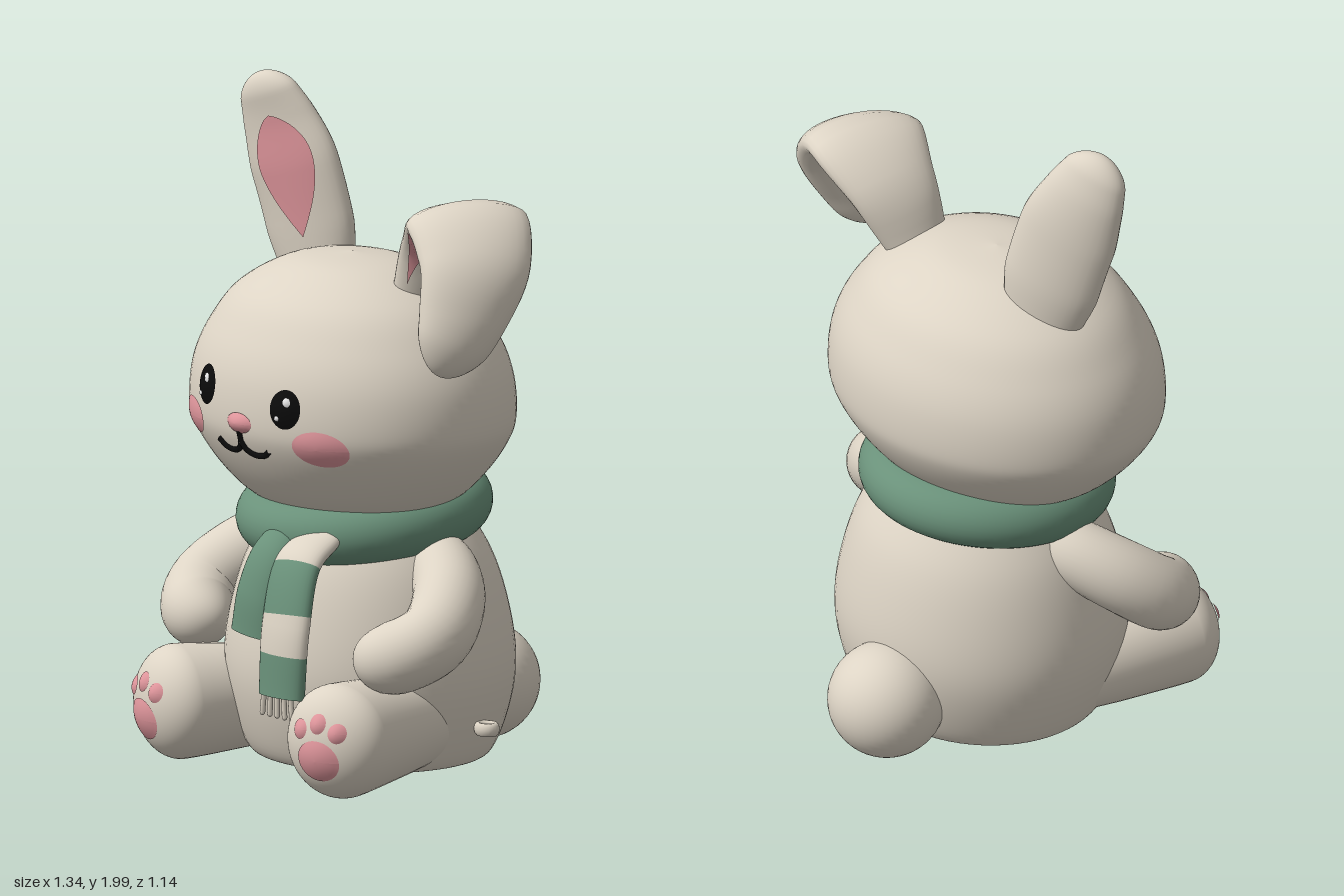
import * as THREE from 'three';

const paint = (name, color) => {
  const m = new THREE.MeshStandardMaterial({ color });
  m.name = name;
  return m;
};
const V = (p) => new THREE.Vector3(...p);
const CX = -0.05; // body centre line

export function createModel() {
  const model = new THREE.Group();
  model.name = 'plushRabbit';
  const cream = paint('cream', 0xddd4c5);
  const green = paint('green', 0x6a917a);
  const pink = paint('pink', 0xde959b);
  const black = paint('black', 0x0b0b0b);
  const white = paint('white', 0xf4f4f4);

  const add = (name, geo, mat, parent = model) => {
    const mesh = new THREE.Mesh(geo, mat);
    mesh.name = name;
    parent.add(mesh);
    return mesh;
  };

  // Sweep an elliptical section along a path. sizes: [half width, half thickness] per path point.
  // round: length of the rounded tip; cap: flat closed ends;
  // patch: [middle angle, half angle] of a teardrop strip lying on the swept surface.
  const sweep = (path, sizes, wide, { t0 = 0, t1 = 1, round = 0, cap = false, patch = null } = {}) => {
    const curve = new THREE.CatmullRomCurve3(path.map(V));
    const size = new THREE.CatmullRomCurve3(sizes.map(([w, h]) => V([w, h, 0])));
    const steps = 40, sides = 32;
    const rows = [];
    for (let i = 0; i <= steps; i++) {
      const u = i / steps;
      rows.push([t0 + (t1 - t0) * (round ? Math.sin(u * Math.PI / 2) : u), 1, u]);
    }
    if (cap) {
      rows.unshift([t0, 0, 0], [t0, 1, 0]);
      rows.push([t1, 1, 1], [t1, 0, 1]);
    }
    const pos = [], index = [];
    const cols = patch ? sides + 1 : sides;
    const lift = patch ? 0.005 : 0;
    rows.forEach(([t, scale, u]) => {
      const c = curve.getPoint(t), T = curve.getTangent(t), s = size.getPoint(t);
      const W = V(wide).addScaledVector(T, -V(wide).dot(T)).normalize();
      const N = new THREE.Vector3().crossVectors(W, T);
      const e = round && t > 1 - round ? (t - 1 + round) / round : 0;
      const k = scale * Math.sqrt(Math.max(1 - e * e, 0.00001));
      const drop = Math.max(Math.sin(Math.PI * u ** 1.4), 0.0001) ** 0.7;
      for (let j = 0; j < cols; j++) {
        const a = patch ? patch[0] + patch[1] * drop * (2 * j / sides - 1) : j / sides * Math.PI * 2;
        const p = c.clone().addScaledVector(W, Math.cos(a) * (s.x * k + lift))
          .addScaledVector(N, Math.sin(a) * (s.y * k + lift));
        pos.push(p.x, p.y, p.z);
      }
    });
    for (let i = 0; i < rows.length - 1; i++) {
      if (cap && (i === 1 || i === rows.length - 3)) continue;
      for (let j = 0; j < sides; j++) {
        const a = i * cols + j, b = i * cols + (j + 1) % cols;
        index.push(a, a + cols, b, a + cols, b + cols, b);
      }
    }
    const g = new THREE.BufferGeometry();
    g.setAttribute('position', new THREE.Float32BufferAttribute(pos, 3));
    g.setIndex(index);
    g.computeVertexNormals();
    return g;
  };

  // Thin domed oval that follows a surface z = surf(x, y)
  const decal = (name, mat, surf, cx, cy, rx, ry, dome, parent) => {
    const g = new THREE.RingGeometry(0.001, 1, 32, 6);
    const p = g.attributes.position;
    for (let i = 0; i < p.count; i++) {
      const u = p.getX(i), v = p.getY(i);
      const x = cx + u * rx, y = cy + v * ry;
      p.setXYZ(i, x, y, surf(x, y) + 0.003 + dome * (1 - u * u - v * v));
    }
    g.computeVertexNormals();
    return add(name, g, mat, parent);
  };

  const spline = (pts) => new THREE.SplineCurve(pts.map((p) => new THREE.Vector2(...p))).getPoints(60)
    .map((p) => new THREE.Vector2(Math.max(p.x, 0), p.y));

  // Body, with a softly rounded underside
  const bodySide = spline([[0, 0.026], [0.18, 0.028], [0.3, 0.036], [0.35, 0.07], [0.395, 0.2], [0.41, 0.33],
    [0.39, 0.48], [0.345, 0.63], [0.27, 0.76], [0.2, 0.85]]);
  const body = add('body', new THREE.LatheGeometry(bodySide, 64), cream);
  body.position.set(CX, 0, 0.02);
  body.scale.x = 1.08;

  // Head
  const headSide = spline([[0, 0.74], [0.2, 0.76], [0.34, 0.82], [0.435, 0.9], [0.51, 1.0], [0.532, 1.08],
    [0.518, 1.2], [0.465, 1.31], [0.37, 1.42], [0.2, 1.505], [0, 1.53]]);
  const head = add('head', new THREE.LatheGeometry(headSide, 80), cream);
  head.position.set(CX, 0, 0.085);
  head.scale.z = 0.81;
  const faceZ = (x, y) => {
    const i = Math.max(1, headSide.findIndex((p) => p.y >= y));
    const a = headSide[i - 1], b = headSide[i];
    const r = a.x + (b.x - a.x) * (y - a.y) / (b.y - a.y);
    return 0.085 + 0.81 * Math.sqrt(Math.max(r * r - (x - CX) ** 2, 0));
  };

  // Face, slightly tilted
  const shineZ = (x, y) => faceZ(x, y) + 0.013;
  [[-0.227, 1.16], [0.125, 1.14]].forEach(([x, y]) => {
    decal('eye', black, faceZ, x, y, 0.051, 0.058, 0.016);
    decal('eyeShine', white, shineZ, x + 0.015, y + 0.024, 0.013, 0.014, 0.004);
    decal('eyeShineSmall', white, shineZ, x - 0.014, y - 0.026, 0.008, 0.008, 0.004);
  });
  decal('cheek', pink, faceZ, -0.33, 1.05, 0.08, 0.054, 0.009);
  decal('cheek', pink, faceZ, 0.226, 1.03, 0.08, 0.054, 0.009);
  decal('nose', pink, faceZ, -0.05, 1.077, 0.053, 0.03, 0.018);
  const line = (pts) => add('mouth', new THREE.TubeGeometry(new THREE.CatmullRomCurve3(
    pts.map(([x, y]) => V([x, y, faceZ(x, y) + 0.002]))), 24, 0.009, 8), black);
  line([[-0.162, 1.012], [-0.135, 0.993], [-0.1, 0.987], [-0.068, 0.998], [-0.05, 1.022]]);
  line([[-0.05, 1.022], [-0.035, 0.998], [0, 0.985], [0.035, 0.99], [0.06, 1.008]]);
  line([[-0.05, 1.055], [-0.05, 1.022]]);

  // Upright ear
  const upPath = [[-0.285, 1.4, 0.01], [-0.32, 1.56, 0.02], [-0.36, 1.72, 0.04], [-0.41, 1.87, 0.065],
    [-0.447, 2.0, 0.105]];
  const upSize = [[0.115, 0.06], [0.15, 0.068], [0.152, 0.068], [0.125, 0.058], [0.08, 0.045]];
  const upWide = [0.96, 0, -0.28];
  add('uprightEar', sweep(upPath, upSize, upWide, { round: 0.12 }), cream);
  add('uprightEarInner', sweep(upPath, upSize, upWide, { t0: 0.2, t1: 0.78, patch: [1.47, 0.66] }), pink);

  // Folded ear, its lining showing along the front edge
  const foldPath = [[0.225, 1.42, 0.06], [0.31, 1.6, 0.04], [0.45, 1.69, 0.075], [0.555, 1.59, 0.135],
    [0.575, 1.44, 0.2], [0.552, 1.275, 0.262]];
  const foldSize = [[0.09, 0.05], [0.135, 0.058], [0.18, 0.065], [0.165, 0.07], [0.13, 0.07], [0.085, 0.06]];
  const foldWide = [0.45, 0.05, -0.88];
  add('foldedEar', sweep(foldPath, foldSize, foldWide, { round: 0.13 }), cream);
  add('foldedEarInner', sweep(foldPath, foldSize, foldWide, { t0: 0.06, t1: 0.9, patch: [2.35, 0.72] }), pink);

  // Arms and legs, mirrored
  const footR = 0.169, footDepth = 0.12;
  const legSide = [[0.13, -0.4], [0.148, -0.25], [0.162, -0.1], [0.167, -0.04]].map((p) => new THREE.Vector2(...p));
  for (let i = 0; i <= 20; i++) {
    const a = i / 20 * Math.PI / 2;
    legSide.push(new THREE.Vector2(footR * Math.cos(a), footDepth * Math.sin(a)));
  }
  const soleZ = (x, y) => footDepth * Math.sqrt(Math.max(1 - (x * x + y * y) / footR ** 2, 0));
  [-1, 1].forEach((s) => {
    const side = s > 0 ? 'left' : 'right';
    const arm = [[0.2, 0.66, 0.01], [0.34, 0.635, 0.035], [0.46, 0.565, 0.11], [0.51, 0.48, 0.21],
      [0.45, 0.425, 0.295], [0.32, 0.405, 0.335]].map(([x, y, z]) => [CX + s * x, y, z]);
    const armSize = [0.09, 0.1, 0.107, 0.109, 0.108, 0.104].map((r) => [r, r]);
    add(side + 'Arm', sweep(arm, armSize, [0, 1, 0.25], { round: 0.2 }), cream);

    const leg = new THREE.Group();
    leg.name = side + 'Leg';
    leg.position.set(CX + s * 0.365, 0.183, 0.44);
    leg.rotation.y = s * 0.24;
    model.add(leg);
    add('legAndFoot', new THREE.LatheGeometry(legSide, 48).rotateX(Math.PI / 2), cream, leg);
    decal('solePad', pink, soleZ, 0, -0.042, 0.073, 0.061, 0.009, leg);
    [[-0.066, 0.046], [0, 0.068], [0.066, 0.046]].forEach(([x, y]) =>
      decal('toePad', pink, soleZ, x, y, 0.028, 0.029, 0.009, leg));
  });

  // Tail
  add('tail', new THREE.SphereGeometry(0.173, 40, 28), cream).position.set(CX, 0.193, -0.4);

  // Scarf ring, higher at the back
  const ring = add('scarfRing', new THREE.TorusGeometry(0.285, 0.09, 28, 72).rotateX(Math.PI / 2), green);
  ring.position.set(CX, 0.765, 0.042);
  ring.rotation.x = 0.12;

  // Short scarf end
  add('scarfShortEnd', sweep([[-0.01, 0.75, 0.36], [-0.008, 0.68, 0.435], [-0.018, 0.57, 0.475], [-0.03, 0.45, 0.485]],
    [[0.055, 0.03], [0.068, 0.036], [0.077, 0.036], [0.084, 0.034]], [1, -0.2, 0], { cap: true }), green);

  // Long striped scarf end with fringe
  const longPath = [[0.105, 0.735, 0.34], [0.115, 0.675, 0.432], [0.135, 0.5, 0.495], [0.137, 0.295, 0.513]];
  const longSize = [[0.08, 0.035], [0.09, 0.04], [0.096, 0.04], [0.092, 0.04]];
  [[0, 0.35, cream], [0.35, 0.61, green], [0.61, 0.8, cream], [0.8, 1, green]].forEach(([t0, t1, mat]) =>
    add('scarfStripe', sweep(longPath, longSize, [1, 0, 0], { t0, t1, cap: true }), mat));
  for (let i = 0; i < 5; i++) {
    const strand = add('scarfFringe', new THREE.CapsuleGeometry(0.008, 0.075, 4, 8), cream);
    strand.position.set(0.055 + i * 0.031, 0.272, 0.513);
    strand.rotation.z = (i - 2) * 0.06;
  }

  // Small fabric loop on the left side of the body
  const loop = add('sideLoop', new THREE.TorusGeometry(0.022, 0.01, 10, 20), cream);
  loop.position.set(0.392, 0.165, -0.05);
  loop.rotation.x = Math.PI / 2;
  loop.scale.set(1.3, 1.1, 2);
  return model;
}
